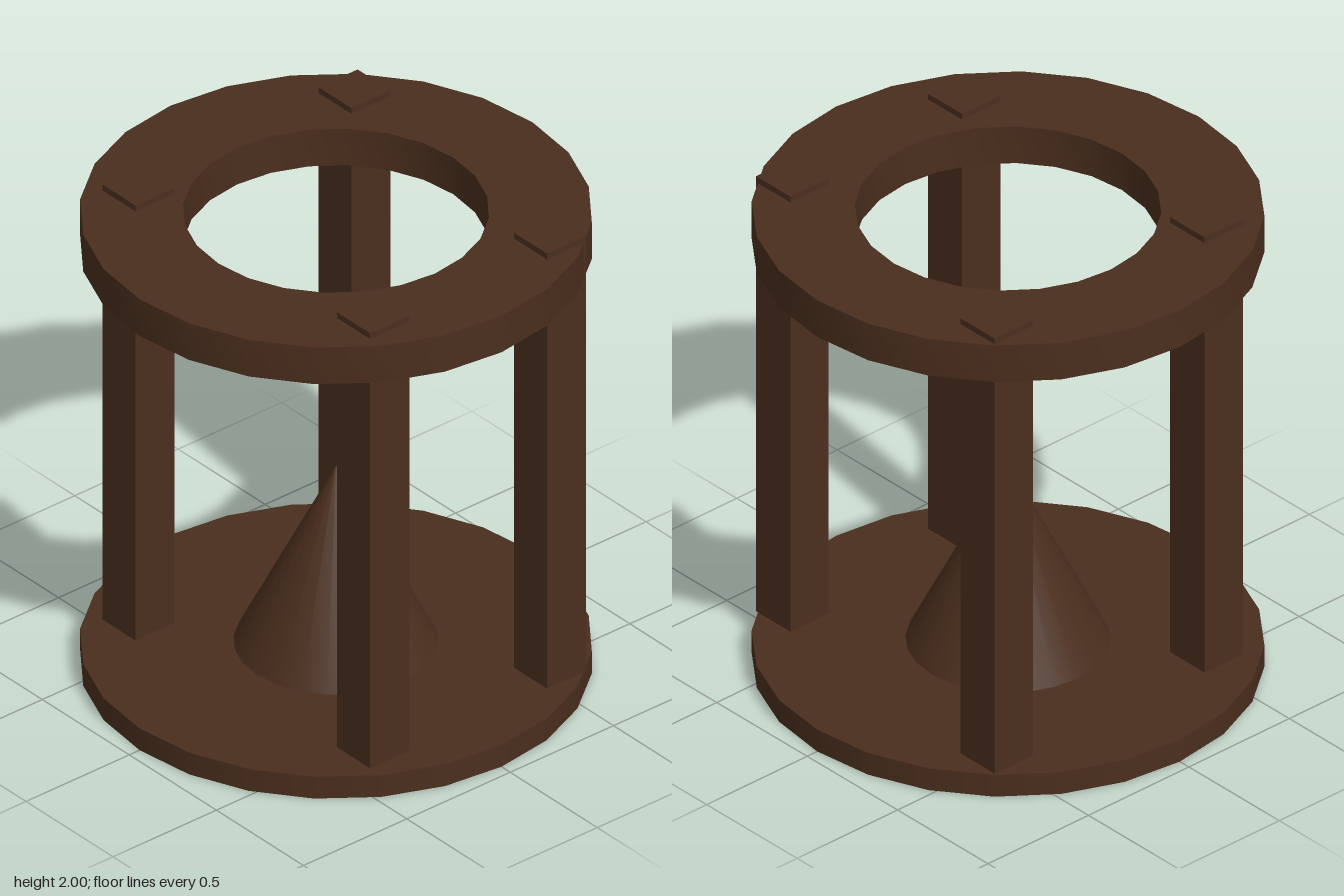
import * as THREE from 'three';
import { toCreasedNormals } from 'three/addons/utils/BufferGeometryUtils.js';

export function createModel() {
  const model = new THREE.Group();
  const wood = new THREE.MeshStandardMaterial({ color: 0x4a2e1d });
  const sides = 24;

  const add = (name, geometry, x, y, z) => {
    const mesh = new THREE.Mesh(geometry, wood);
    mesh.name = name;
    mesh.position.set(x, y, z);
    model.add(mesh);
  };

  // Round floor plate
  const baseTop = 0.095;
  add('base', new THREE.CylinderGeometry(0.95, 0.95, baseTop, sides), 0, baseTop / 2, 0);

  // Cone standing in the middle of the base
  const coneHeight = 0.765;
  add('cone', new THREE.ConeGeometry(0.38, coneHeight, sides), 0, baseTop + coneHeight / 2, 0);

  // Top ring: rectangular section turned around the axis
  const inner = 0.568, outer = 0.95, thickness = 0.16;
  const section = [[inner, 0], [outer, 0], [outer, thickness], [inner, thickness], [inner, 0]]
    .map(([r, y]) => new THREE.Vector2(r, y));
  add('topRing', toCreasedNormals(new THREE.LatheGeometry(section, sides), Math.PI / 4), 0, 1.815, 0);

  // Four square posts, slightly off symmetry, poking through the ring
  const postHeight = 2 - baseTop;
  const posts = {
    frontLeftPost: [0.475, 0.665],
    frontRightPost: [-0.38, 0.665],
    backLeftPost: [0.57, -0.57],
    backRightPost: [-0.475, -0.57],
  };
  for (const [name, [x, z]] of Object.entries(posts)) {
    add(name, new THREE.BoxGeometry(0.19, postHeight, 0.19), x, baseTop + postHeight / 2, z);
  }

  return model;
}
